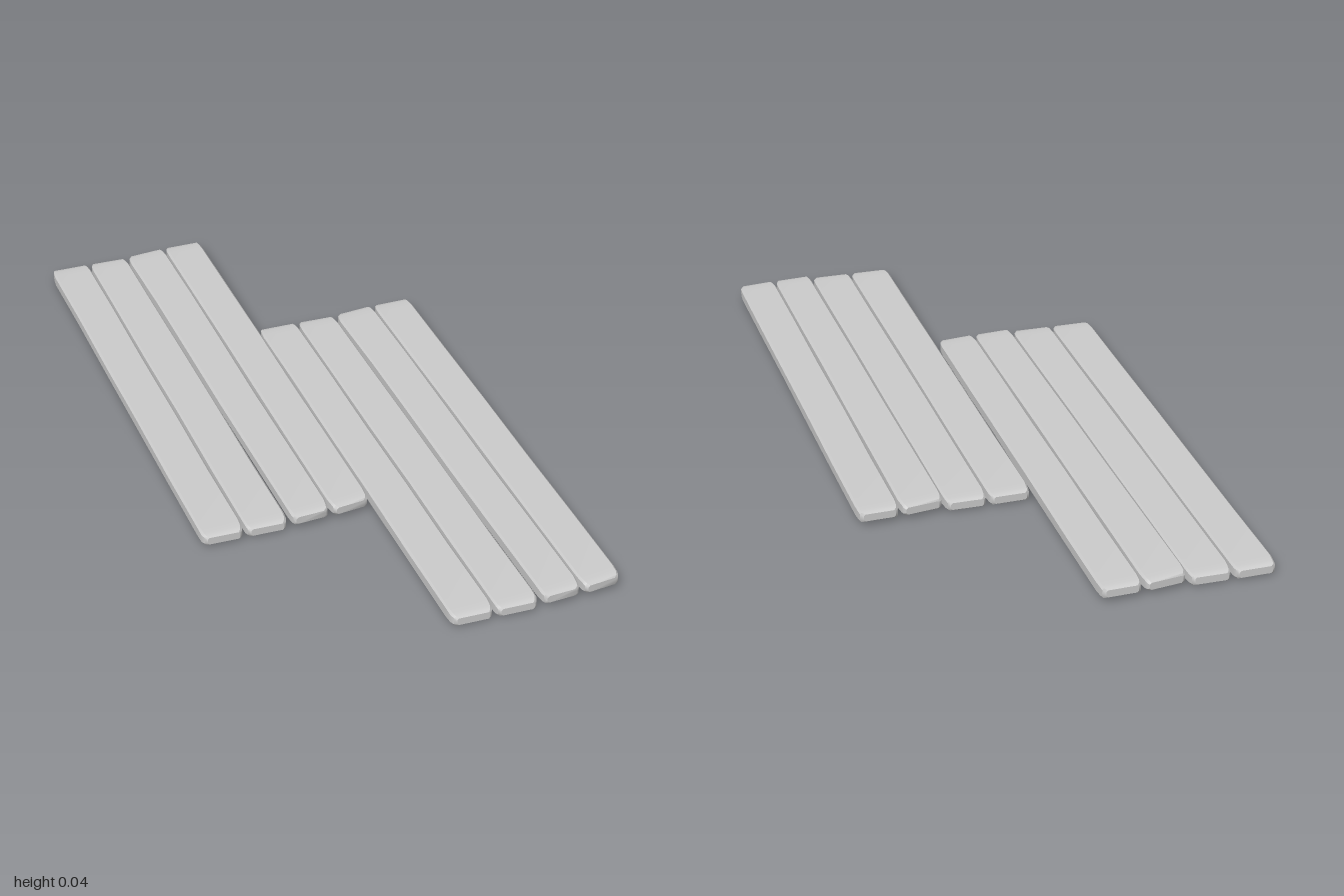
import * as THREE from 'three';
import { toCreasedNormals } from 'three/addons/utils/BufferGeometryUtils.js';

const THICK = 0.034;
const lerp = THREE.MathUtils.lerp;

// Each board: back edge x range, front edge x range, back z (left, right), front z (left, right), base y
const BOARDS = [
  { back: [-0.48, -0.366], front: [-0.46, -0.346], zBack: [-0.988, -0.99], zFront: [0.472, 0.472], y: 0 },
  { back: [-0.363, -0.25], front: [-0.342, -0.227], zBack: [-0.99, -0.99], zFront: [0.472, 0.472], y: 0 },
  { back: [-0.246, -0.13], front: [-0.219, -0.11], zBack: [-0.983, -0.996], zFront: [0.471, 0.464], y: 0.008 },
  { back: [-0.126, -0.015], front: [-0.106, 0.002], zBack: [-0.997, -1.0], zFront: [0.464, 0.453], y: 0.008 },
];

// Small repeatable random numbers for the worn edges
function seeded(seed) {
  let s = seed;
  return () => (s = (s * 16807) % 2147483647) / 2147483647;
}

// Worn board: chamfered cross-sections lofted from back to front
function boardGeometry(b, seed) {
  const rand = seeded(seed);
  // [distance from the end, side inset, top and bottom inset]
  const worn = [[0, 0.012, 0.007], [0.006, 0.005, 0.003], [0.018, 0.002, 0.001], [0.045, 0, 0]];
  const stations = [
    ...worn.map(([d, side, cap]) => ({ t: 0, dz: d, side, cap })),
    ...[0.2, 0.4, 0.6, 0.8].map((t) => ({ t, dz: 0, side: 0, cap: 0 })),
    ...worn.map(([d, side, cap]) => ({ t: 1, dz: -d, side, cap })).reverse(),
  ];
  const pos = [];
  const index = [];
  stations.forEach(({ t, dz, side, cap }) => {
    const x0 = lerp(b.back[0], b.front[0], t) + side + rand() * 0.002;
    const x1 = lerp(b.back[1], b.front[1], t) - side - rand() * 0.002;
    const y0 = b.y + cap;
    const y1 = b.y + THICK - cap;
    const c = 0.004 + rand() * 0.002;
    const section = [
      [x0 + c, y0], [x1 - c, y0], [x1, y0 + c], [x1, y1 - c],
      [x1 - c, y1], [x0 + c, y1], [x0, y1 - c], [x0, y0 + c],
    ];
    for (const [x, y] of section) {
      const u = (x - x0) / (x1 - x0);
      const z = lerp(lerp(b.zBack[0], b.zBack[1], u), lerp(b.zFront[0], b.zFront[1], u), t);
      pos.push(x, y, z + dz);
    }
  });
  // Side walls
  for (let i = 0; i < stations.length - 1; i++) {
    for (let j = 0; j < 8; j++) {
      const a = i * 8 + j;
      const n = i * 8 + ((j + 1) % 8);
      index.push(a, n, n + 8, a, n + 8, a + 8);
    }
  }
  // End caps
  const last = (stations.length - 1) * 8;
  for (let j = 1; j < 7; j++) {
    index.push(0, j + 1, j, last, last + j, last + j + 1);
  }
  const geo = new THREE.BufferGeometry();
  geo.setAttribute('position', new THREE.Float32BufferAttribute(pos, 3));
  geo.setIndex(index);
  return toCreasedNormals(geo, 0.6);
}

export function createModel() {
  const model = new THREE.Group();
  model.name = 'floorBoards';
  const material = new THREE.MeshStandardMaterial({ color: 0xcccccc });
  const geometries = BOARDS.map((b, i) => boardGeometry(b, 101 + i * 577));

  // Two identical sets of four boards, staggered along z
  [['rightBoards', 0, 0], ['leftBoards', 0.478, 0.525]].forEach(([name, x, z]) => {
    const set = new THREE.Group();
    set.name = name;
    geometries.forEach((geo, i) => {
      const board = new THREE.Mesh(geo, material);
      board.name = `board${i + 1}`;
      set.add(board);
    });
    set.position.set(x, 0, z);
    model.add(set);
  });
  return model;
}
